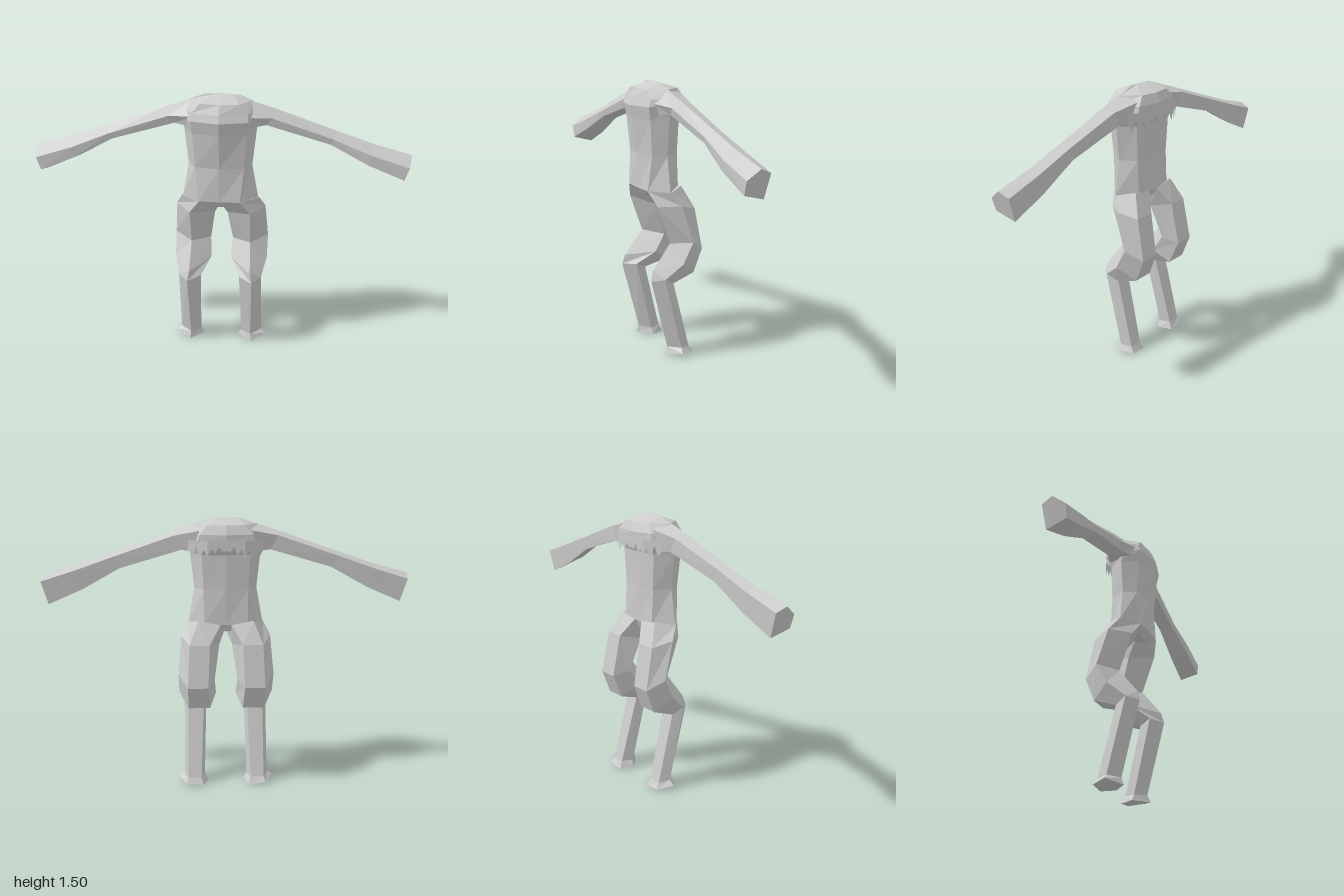
import * as THREE from 'three';

const skin = new THREE.MeshStandardMaterial({ color: 0xcccccc, flatShading: true });
skin.name = 'plain grey';
const clothEdge = new THREE.MeshStandardMaterial({ color: 0xcccccc, flatShading: true, side: THREE.DoubleSide });
clothEdge.name = 'plain grey open edge';

// Skin closed rings of points into a capped solid; side = -1 mirrors it in x
function loft(name, rings, side = 1) {
  const R = rings.map(r => r.map(p => new THREE.Vector3(p[0] * side, p[1], p[2])));
  const n = R[0].length;
  const tris = [];
  for (let i = 0; i < R.length - 1; i++) {
    for (let j = 0; j < n; j++) {
      const k = (j + 1) % n;
      tris.push([R[i][j], R[i + 1][j], R[i + 1][k]], [R[i][j], R[i + 1][k], R[i][k]]);
    }
  }
  // caps fan around the ring centre
  for (const [ring, flip] of [[R[0], false], [R[R.length - 1], true]]) {
    const c = ring.reduce((s, p) => s.add(p), new THREE.Vector3()).divideScalar(n);
    for (let j = 0; j < n; j++) {
      const k = (j + 1) % n;
      tris.push(flip ? [c, ring[k], ring[j]] : [c, ring[j], ring[k]]);
    }
  }
  // turn the faces outward whichever way the rings run
  const volume = tris.reduce((v, [a, b, c]) => v + a.dot(b.clone().cross(c)), 0);
  const points = tris.flatMap(([a, b, c]) => (volume < 0 ? [a, c, b] : [a, b, c]));
  const g = new THREE.BufferGeometry().setFromPoints(points);
  g.computeVertexNormals();
  const m = new THREE.Mesh(g, skin);
  m.name = name;
  return m;
}

// Symmetric torso ring: front centre, front corner, side, back corner, back centre
function torsoRing(y, front, [fx, fz], [sx, sz], [bx, bz], back) {
  return [[0, y, front], [fx, y, fz], [sx, y, sz], [bx, y, bz],
    [0, y, back], [-bx, y, bz], [-sx, y, sz], [-fx, y, fz]];
}

// Ring points: front ridge, outer, back outer, back inner, inner
const legRings = [
  [[0.11, 0.93, 0.118], [0.21, 0.93, 0.03], [0.15, 0.95, -0.066], [0.03, 0.93, -0.066], [0, 0.89, 0.03]],
  [[0.165, 0.85, 0.085], [0.245, 0.86, -0.02], [0.2, 0.83, -0.122], [0.09, 0.83, -0.125], [0.035, 0.81, -0.02]],
  [[0.165, 0.64, 0.01], [0.262, 0.655, -0.08], [0.21, 0.6, -0.166], [0.1, 0.6, -0.166], [0.063, 0.625, -0.08]],
  [[0.17, 0.5, 0.118], [0.26, 0.54, -0.02], [0.21, 0.47, -0.115], [0.09, 0.47, -0.115], [0.055, 0.53, -0.02]],
  [[0.18, 0.445, 0.132], [0.232, 0.46, 0.075], [0.21, 0.425, 0.012], [0.125, 0.425, 0.012], [0.108, 0.455, 0.075]],
  [[0.175, 0.045, 0.03], [0.237, 0.05, -0.025], [0.215, 0.04, -0.085], [0.14, 0.04, -0.085], [0.12, 0.04, -0.025]],
];
const footRings = [
  legRings[5],
  [[0.18, 0.005, 0.045], [0.268, 0.025, -0.02], [0.225, 0.01, -0.105], [0.13, 0, -0.105], [0.1, 0.005, -0.03]],
];

// Ring points: top, front, front bottom, back bottom, back
const armRings = [
  [[0.14, 1.475, 0.03], [0.14, 1.4, 0.11], [0.17, 1.34, 0.08], [0.17, 1.33, -0.05], [0.14, 1.44, -0.07]],
  [[0.28, 1.43, 0.03], [0.27, 1.385, 0.062], [0.24, 1.345, 0.05], [0.24, 1.335, -0.035], [0.28, 1.41, -0.038]],
  [[0.6, 1.318, 0.025], [0.59, 1.28, 0.062], [0.575, 1.25, 0.055], [0.57, 1.237, -0.025], [0.6, 1.3, -0.03]],
  [[0.8, 1.25, 0.025], [0.79, 1.205, 0.085], [0.775, 1.15, 0.08], [0.77, 1.125, -0.025], [0.8, 1.23, -0.035]],
  [[1, 1.195, 0.025], [0.985, 1.145, 0.09], [0.965, 1.075, 0.088], [0.955, 1.045, -0.025], [0.99, 1.17, -0.035]],
];

// Torn hem hanging from the upper back
function tornHem() {
  const points = [];
  const steps = 20;
  const at = (i, drop) => {
    const x = -0.2 + 0.4 * i / steps;
    const z = -0.108 + Math.max(0, Math.abs(x) - 0.1) * 0.5;
    return new THREE.Vector3(x, 1.39 - drop, z);
  };
  const tooth = i => (i % 2 ? 0.075 + 0.02 * Math.sin(i * 2.7) : 0.04 + 0.012 * Math.cos(i * 1.9));
  for (let i = 0; i < steps; i++) {
    const a = at(i, 0), b = at(i + 1, 0), c = at(i + 1, tooth(i + 1)), d = at(i, tooth(i));
    points.push(a, b, c, a, c, d);
  }
  const g = new THREE.BufferGeometry().setFromPoints(points);
  g.computeVertexNormals();
  const m = new THREE.Mesh(g, clothEdge);
  m.name = 'tornBackHem';
  return m;
}

export function createModel() {
  const body = new THREE.Group();
  body.name = 'headlessFigure';

  // Torso from the crotch to the closed neck
  body.add(loft('torso', [
    torsoRing(0.89, 0.09, [0.04, 0.08], [0.06, 0.03], [0.04, -0.04], -0.05),
    torsoRing(0.93, 0.12, [0.11, 0.116], [0.205, 0.03], [0.12, -0.064], -0.068),
    torsoRing(1.12, 0.122, [0.13, 0.1], [0.17, 0.03], [0.12, -0.055], -0.068),
    torsoRing(1.31, 0.15, [0.14, 0.115], [0.19, 0.03], [0.13, -0.06], -0.072),
    torsoRing(1.38, 0.165, [0.15, 0.128], [0.2, 0.03], [0.15, -0.085], -0.105),
    torsoRing(1.42, 0.15, [0.145, 0.115], [0.2, 0.03], [0.14, -0.085], -0.106),
    torsoRing(1.468, 0.125, [0.1, 0.11], [0.165, 0.02], [0.1, -0.07], -0.085),
    torsoRing(1.5, 0.035, [0.03, 0.035], [0.07, 0.028], [0.03, 0.02], 0.02),
  ]));
  body.add(tornHem());

  // Limbs, mirrored
  for (const [label, side] of [['left', 1], ['right', -1]]) {
    body.add(loft(label + 'Arm', armRings, side));
    body.add(loft(label + 'Leg', legRings, side));
    body.add(loft(label + 'Foot', footRings, side));
  }
  return body;
}
